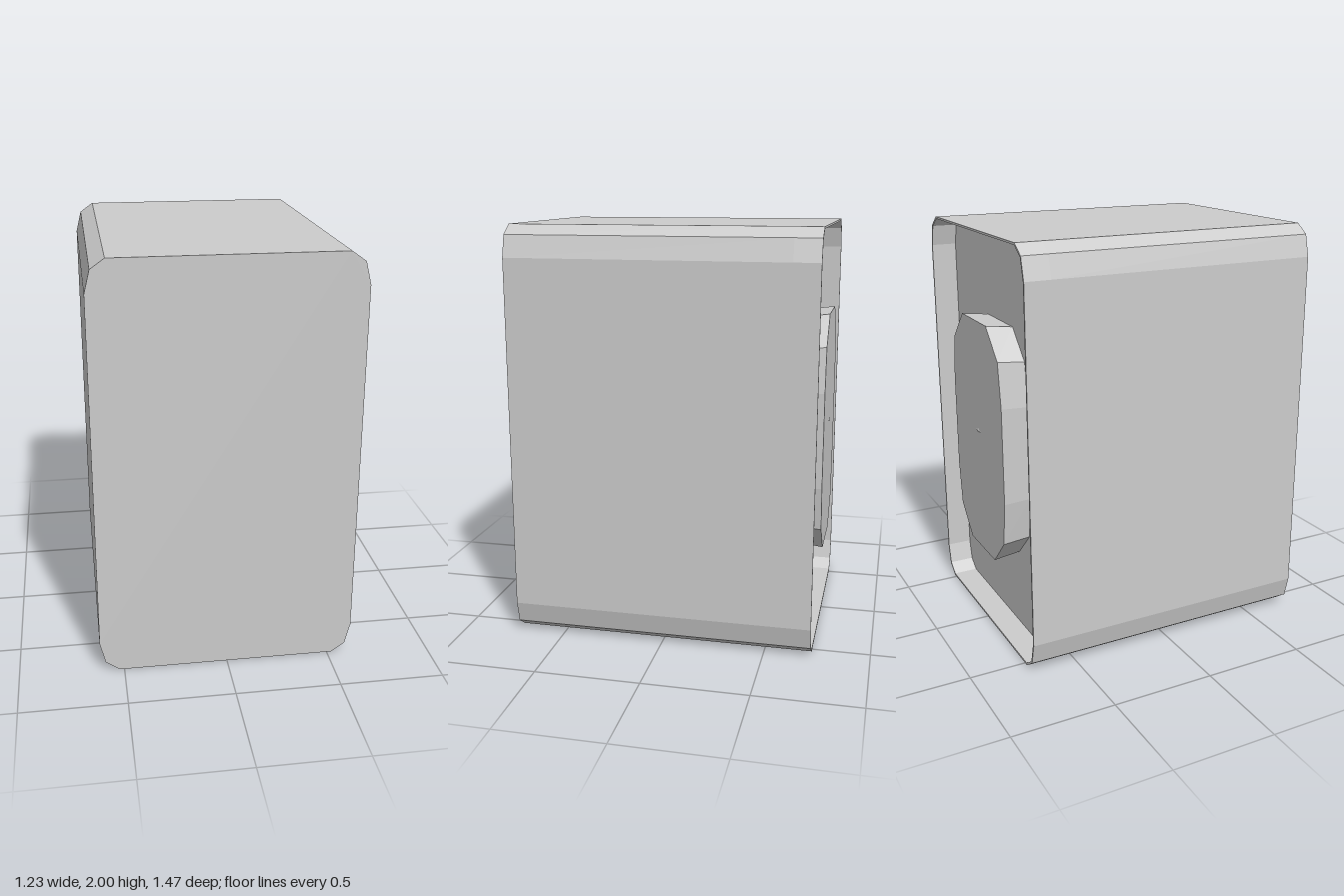
import * as THREE from 'three';

const material = new THREE.MeshStandardMaterial({ color: 0xcccccc, flatShading: true });

// Closed counter-clockwise outline with faceted corners, mirrored from one quadrant (side to top)
function outline(quadrant, cy, Type = THREE.Shape) {
  const back = [...quadrant].reverse();
  const points = [
    ...quadrant,
    ...back.map(([x, y]) => [-x, y]),
    ...quadrant.map(([x, y]) => [-x, -y]),
    ...back.map(([x, y]) => [x, -y]),
  ];
  return new Type(points.map(([x, y]) => new THREE.Vector2(x, y + cy)));
}

// Extrudes a shape between two z positions
function slab(name, shape, z0, z1) {
  const geometry = new THREE.ExtrudeGeometry(shape, { depth: z1 - z0, bevelEnabled: false });
  geometry.translate(0, 0, z0);
  const mesh = new THREE.Mesh(geometry, material);
  mesh.name = name;
  return mesh;
}

export function createModel() {
  const group = new THREE.Group();
  group.name = 'casing';

  const front = 0.735, back = -0.724, floor = -0.6, plateBack = -0.732, plateY = 0.985;
  const bodyCorner = [[0.614, 0.85], [0.588, 0.954], [0.523, 1]];
  const innerCorner = [[0.605, 0.847], [0.58, 0.947], [0.519, 0.99]];
  const plateCorner = [[0.323, 0.235], [0.295, 0.45], [0.16, 0.59]];

  // Solid body
  group.add(slab('body', outline(bodyCorner, 1), floor, front));

  // Thin rim round the recessed back
  const rim = outline(bodyCorner, 1);
  rim.holes.push(outline(innerCorner, 1, THREE.Path));
  group.add(slab('backRim', rim, back, floor));

  // Raised plate in the recess, slightly shorter where it meets the floor
  const plate = slab('backPlate', outline(plateCorner, plateY), plateBack, floor);
  const position = plate.geometry.attributes.position;
  for (let i = 0; i < position.count; i++) {
    if (position.getZ(i) > back) {
      position.setY(i, plateY + (position.getY(i) - plateY) * 0.972);
    }
  }
  plate.geometry.computeVertexNormals();
  group.add(plate);

  // Tiny shallow point at the middle of the plate
  const nub = new THREE.Mesh(new THREE.ConeGeometry(0.035, 0.004, 4), material);
  nub.name = 'plateNub';
  nub.rotation.x = -Math.PI / 2;
  nub.scale.z = 0.35;
  nub.position.set(0, 1.022, plateBack - 0.002);
  group.add(nub);

  return group;
}
